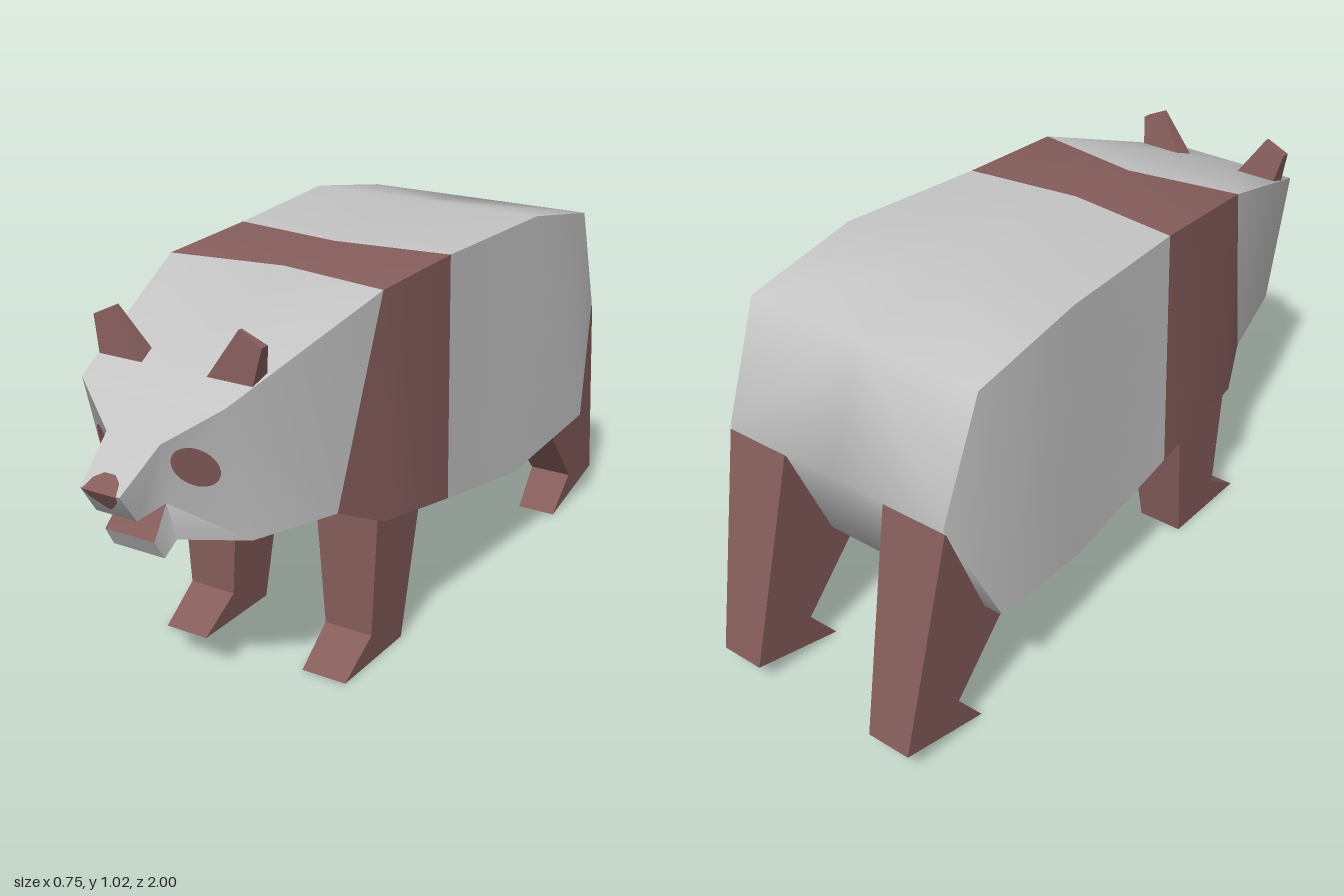
import * as THREE from 'three';
import { toCreasedNormals } from 'three/addons/utils/BufferGeometryUtils.js';

const pale = new THREE.MeshStandardMaterial({ color: 0xc4c4c4 });
pale.name = 'pale fur';
const dark = new THREE.MeshStandardMaterial({ color: 0x855d5b });
dark.name = 'brown fur';

// Half outline of the body: [x, y, z, z on the centre line]
const P = {
  brow: [0.2, 0.84, 0.81], shoulder: [0.31, 1.0, 0.33, 0.28], back: [0.315, 1.01, 0.01, 0.05],
  hump: [0.347, 1.02, -0.42], rump: [0.345, 0.96, -0.75], tail: [0.335, 0.66, -0.87],
  haunch: [0.377, 0.35, -0.73], belly: [0.33, 0.28, -0.38], rib: [0.325, 0.35, 0.01],
  chest: [0.32, 0.41, 0.33], throat: [0.265, 0.47, 0.46, 0.39], cheek: [0.2, 0.49, 0.72],
  chin: [0.07, 0.505, 0.83], jaw: [0.073, 0.48, 0.88], lip: [0.07, 0.53, 0.91],
  mouth: [0.06, 0.6, 0.85], muzzle: [0.057, 0.595, 0.95], nose: [0.055, 0.67, 1], bridge: [0.075, 0.755, 0.88],
};

function bodyGeometry() {
  const tris = [[], []];
  // Adds a polygon and its mirror image, as a fan
  const face = (colour, ...pts) => {
    for (let i = 1; i < pts.length - 1; i++) {
      const t = [pts[0], pts[i], pts[i + 1]];
      for (const p of t) tris[colour].push(p[0], p[1], p[2]);
      for (const p of t.reverse()) tris[colour].push(-p[0], p[1], p[2]);
    }
  };
  // Strip across the back, belly, mouth and snout
  const names = Object.keys(P);
  const darkStarts = ['shoulder', 'rib', 'chest', 'lip'];
  const centre = (p) => [0, p[1], p[3] ?? p[2]];
  names.forEach((n, i) => {
    const a = P[n], b = P[names[(i + 1) % names.length]];
    face(darkStarts.includes(n) ? 1 : 0, centre(a), a, b, centre(b));
  });
  // Flanks, face and snout sides
  const side = (colour, list) => face(colour, ...list.split(' ').map((n) => P[n]));
  side(0, 'back rib belly hump');
  side(0, 'hump belly haunch rump');
  side(0, 'rump haunch tail');
  side(1, 'shoulder chest rib back');
  side(1, 'shoulder throat chest');
  side(0, 'brow cheek throat shoulder');
  side(0, 'brow bridge mouth cheek');
  side(0, 'bridge nose muzzle mouth');
  side(0, 'mouth lip jaw chin');
  side(0, 'mouth chin cheek');
  const g = new THREE.BufferGeometry();
  g.setAttribute('position', new THREE.Float32BufferAttribute([...tris[0], ...tris[1]], 3));
  g.addGroup(0, tris[0].length / 3, 0);
  g.addGroup(tris[0].length / 3, tris[1].length / 3, 1);
  return toCreasedNormals(g, 1.05);
}

// Moves every vertex by a rule and refreshes the normals
function reshape(g, rule) {
  const pos = g.attributes.position;
  for (let i = 0; i < pos.count; i++) pos.setXYZ(i, ...rule(pos.getX(i), pos.getY(i), pos.getZ(i)));
  g.computeVertexNormals();
  return g;
}
const shapeOf = (pts) => new THREE.Shape(pts.map(([x, y]) => new THREE.Vector2(x, y)));
const solid = (pts) => new THREE.ExtrudeGeometry(shapeOf(pts), { depth: 1, bevelEnabled: false });
const lerp = THREE.MathUtils.lerp;

// Leg from a side outline [z, y]; inner and outer give x at the top and the foot
function legGeometry(outline, top, inner, outer, s) {
  return reshape(solid(outline.map(([z, y]) => [-z, y])), (x, y, d) => {
    const t = y / top;
    const a = lerp(inner[1], inner[0], t), b = lerp(outer[1], outer[0], t);
    return [s > 0 ? lerp(a, b, d) : lerp(-b, -a, d), y, -x];
  });
}

export function createModel() {
  const group = new THREE.Group();
  const add = (name, geometry, material) => {
    const m = new THREE.Mesh(geometry, material);
    m.name = name;
    group.add(m);
  };
  add('body', bodyGeometry(), [pale, dark]);

  const frontOutline = [[0.335, 0.41], [0.33, 0.08], [0.45, 0], [0.17, 0], [0.12, 0.38]];
  const rearOutline = [[-0.868, 0.65], [-1, 0.07], [-0.735, 0], [-0.83, 0.1], [-0.61, 0.35]];
  for (const [s, label] of [[1, 'left'], [-1, 'right']]) {
    add(label + 'FrontLeg', legGeometry(frontOutline, 0.41, [0.123, 0.152], [0.302, 0.28], s), dark);
    add(label + 'RearLeg', legGeometry(rearOutline, 0.65, [0.155, 0.19], [0.338, 0.305], s), dark);

    // Ear: wedge that thins towards its tip
    const ear = [[0.09, 0.865], [0.172, 0.987], [0.235, 0.957], [0.215, 0.865]].map(([x, y]) => [s * x, y]);
    add(label + 'Ear', reshape(solid(ear), (x, y, d) => {
      const t = (y - 0.865) / 0.122;
      return [x, y, lerp(lerp(0.67, 0.703, t), lerp(0.728, 0.715, t), d)];
    }), dark);

    // Eye patch: leaning oval laid on the sloping face
    const eye = [];
    for (let i = 0; i < 24; i++) {
      const a = (i / 24) * Math.PI * 2, u = 0.041 * Math.cos(a), v = 0.053 * Math.sin(a);
      eye.push([s * (0.13 + u * 0.93 - v * 0.36), 0.695 + u * 0.36 + v * 0.93]);
    }
    add(label + 'EyePatch', reshape(new THREE.ShapeGeometry(shapeOf(eye)), (x, y) =>
      [x, y, 0.815 - 0.727 * (Math.abs(x) - 0.2) + 0.257 * (y - 0.84)]), dark);
  }

  // Nose patch wraps over the tip of the snout
  const onSnout = (x, y) => [x, y, 1.004 - (y > 0.67 ? (y - 0.67) * 1.41 : (0.67 - y) * 0.667)];
  const noseTop = [[-0.048, 0.67], [0.048, 0.67], [0.036, 0.69], [0.015, 0.7], [-0.015, 0.7], [-0.036, 0.69]];
  const noseFront = [[-0.048, 0.67], [-0.04, 0.65], [-0.012, 0.625], [0, 0.618], [0.012, 0.625], [0.04, 0.65], [0.048, 0.67]];
  add('noseTop', reshape(new THREE.ShapeGeometry(shapeOf(noseTop)), onSnout), dark);
  add('noseFront', reshape(new THREE.ShapeGeometry(shapeOf(noseFront)), onSnout), dark);
  return group;
}
